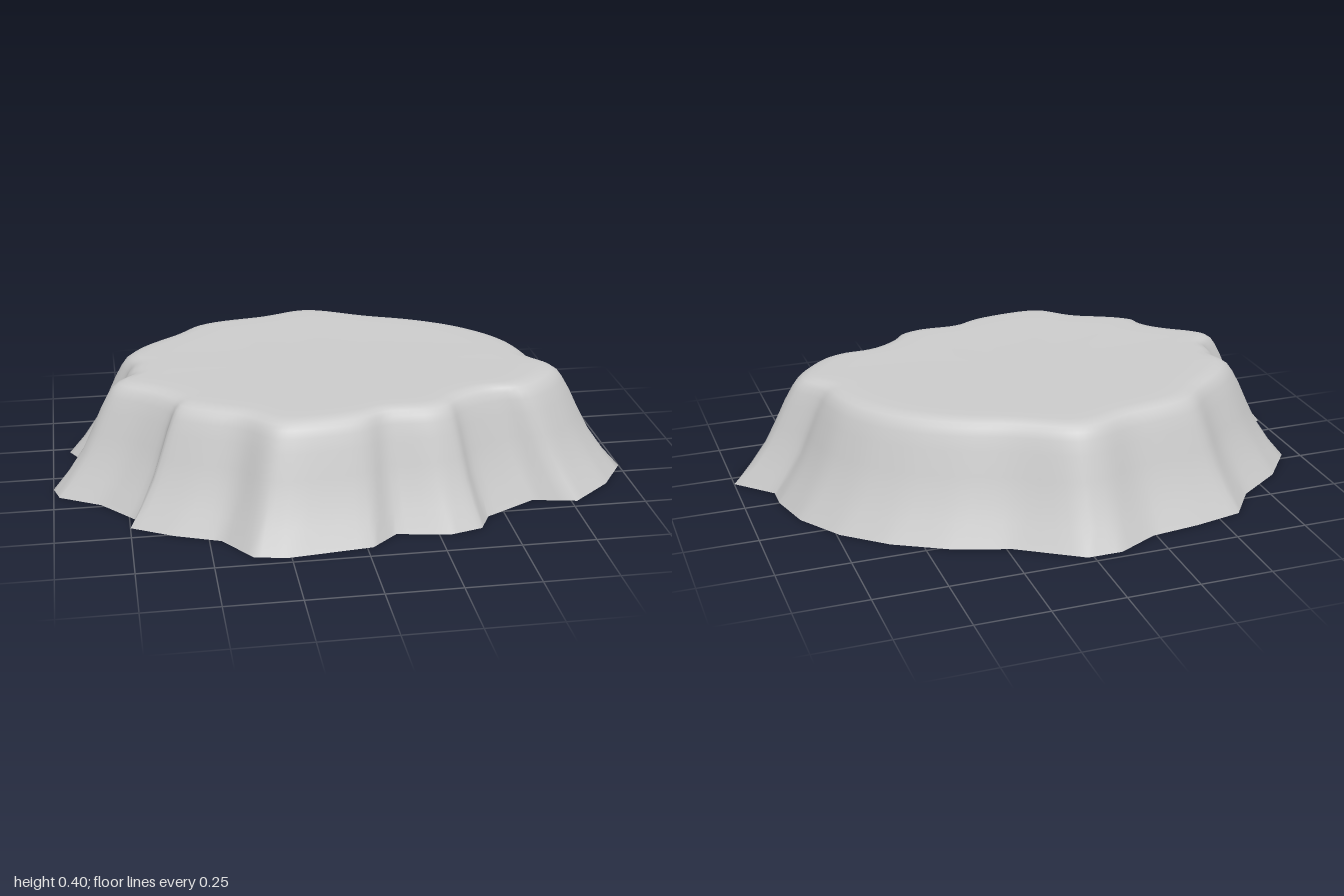
import * as THREE from 'three';

// Ragged ground outline as [x, z], running from the left side round the front
const OUTLINE = [
  [1, 0.2], [0.91, 0.34], [0.77, 0.46], [0.62, 0.43], [0.44, 0.53], [0.4, 0.61],
  [0.29, 0.64], [0.11, 0.61], [0.02, 0.69], [-0.26, 0.72], [-0.37, 0.7], [-0.46, 0.57],
  [-0.61, 0.51], [-0.75, 0.43], [-0.73, 0.37], [-0.84, 0.24], [-0.98, 0.16], [-1, 0.09],
  [-0.91, 0.03], [-0.915, -0.05], [-0.89, -0.13], [-0.94, -0.22], [-0.83, -0.36],
  [-0.67, -0.47], [-0.58, -0.595], [-0.41, -0.63], [-0.24, -0.65], [-0.1, -0.72],
  [0.02, -0.72], [0.23, -0.585], [0.42, -0.52], [0.6, -0.42], [0.74, -0.3],
  [0.84, -0.15], [0.88, 0], [0.88, 0.08],
];

// Slope profile as [height, outline scale, smoothing passes]
const PROFILE = [
  [0, 1, 0], [0.07, 0.947, 1], [0.15, 0.895, 2], [0.22, 0.862, 3], [0.3, 0.826, 4],
  [0.345, 0.802, 5], [0.37, 0.785, 6], [0.384, 0.765, 7], [0.392, 0.74, 8],
  [0.395, 0.7, 10], [0.394, 0.62, 14], [0.393, 0.35, 14], [0.393, 0, 14],
];

const STEPS = 5; // samples along each outline segment

// Evenly subdivided outline
function sampleOutline() {
  const ring = [];
  OUTLINE.forEach(([x, z], i) => {
    const [nx, nz] = OUTLINE[(i + 1) % OUTLINE.length];
    for (let s = 0; s < STEPS; s++) {
      const t = s / STEPS;
      ring.push([x + (nx - x) * t, z + (nz - z) * t]);
    }
  });
  return ring;
}

// One pass of neighbour averaging rounds off the corners
function soften(ring) {
  const n = ring.length;
  return ring.map((p, i) => {
    const a = ring[(i + n - 1) % n], b = ring[(i + 1) % n];
    return [0, 1].map((k) => (a[k] + 2 * p[k] + b[k]) / 4);
  });
}

export function createModel() {
  const group = new THREE.Group();
  group.name = 'rockPlateau';
  const material = new THREE.MeshStandardMaterial({ color: 0xcccccc });

  // Slopes and flat top, lofted through the shrinking, softening outline
  const base = sampleOutline();
  const n = base.length;
  const positions = [], index = [];
  let ring = base, passes = 0;
  PROFILE.forEach(([y, scale, smooth], row) => {
    for (; passes < smooth; passes++) ring = soften(ring);
    for (const [x, z] of ring) positions.push(x * scale, y, z * scale);
    if (row === 0) return;
    for (let i = 0; i < n; i++) {
      const j = (i + 1) % n;
      const a = (row - 1) * n + i, b = (row - 1) * n + j;
      const c = row * n + i, d = row * n + j;
      index.push(a, c, b, b, c, d);
    }
  });
  const geometry = new THREE.BufferGeometry();
  geometry.setAttribute('position', new THREE.Float32BufferAttribute(positions, 3));
  geometry.setIndex(index);
  geometry.computeVertexNormals();
  const slopes = new THREE.Mesh(geometry, material);
  slopes.name = 'slopesAndTop';
  group.add(slopes);

  // Flat underside
  const shape = new THREE.Shape(OUTLINE.map(([x, z]) => new THREE.Vector2(x, z)));
  const underside = new THREE.Mesh(new THREE.ShapeGeometry(shape).rotateX(Math.PI / 2), material);
  underside.name = 'underside';
  group.add(underside);

  return group;
}
